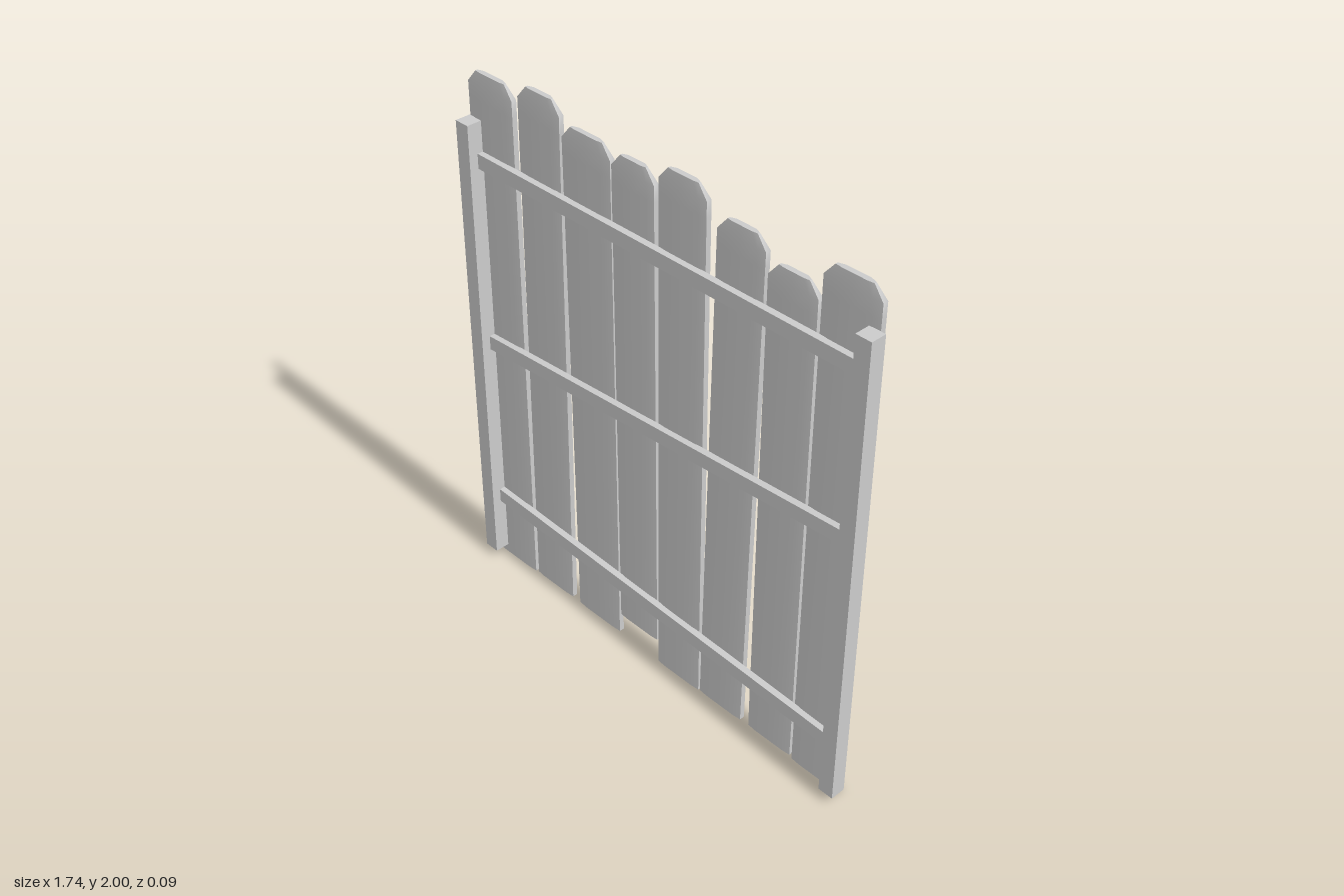
import * as THREE from 'three';

const material = new THREE.MeshStandardMaterial({ color: 0xcccccc });

// Plank: a box whose columns and rows are moved to lean it, clip its top corners and ease its edges
function makePlank({ top, bottom, yTop, yBottom = 0.005, zTop = 0, zBottom = 0 }) {
  const geometry = new THREE.BoxGeometry(1, 1, 1, 4, 3, 1);
  const columns = [0, 0.17, 0.5, 0.83, 1];
  const rows = [yBottom, yTop - 0.1, yTop - 0.045, yTop];
  const position = geometry.attributes.position;
  for (let i = 0; i < position.count; i++) {
    const c = Math.round((position.getX(i) + 0.5) * 4);
    const r = Math.round((position.getY(i) + 0.5) * 3);
    const back = position.getZ(i) < 0;
    const y = rows[r];
    const t = (y - yBottom) / (yTop - yBottom);
    const inset = r === 3 ? 0.037 : 0;
    const x0 = THREE.MathUtils.lerp(bottom[0], top[0], t) + inset;
    const x1 = THREE.MathUtils.lerp(bottom[1], top[1], t) - inset;
    const edge = c === 0 || c === 4;
    let z = back ? -0.04 : -0.01;
    if (edge) z += back ? 0.008 : -0.003;
    if (r === 3) z += back ? 0.008 : -0.003;
    z += THREE.MathUtils.lerp(zBottom, zTop, t);
    position.setXYZ(i, THREE.MathUtils.lerp(x0, x1, columns[c]), y, z);
  }
  geometry.computeVertexNormals();
  return new THREE.Mesh(geometry, material);
}

// Rail: a thin bar sheared so its ends stay upright between the posts
function makeRail(yLeft, yRight) {
  const half = 0.027;
  const shape = new THREE.Shape([
    new THREE.Vector2(-0.812, yLeft - half),
    new THREE.Vector2(0.812, yRight - half),
    new THREE.Vector2(0.812, yRight + half),
    new THREE.Vector2(-0.812, yLeft + half),
  ]);
  const geometry = new THREE.ExtrudeGeometry(shape, { depth: 0.024, bevelEnabled: false });
  geometry.translate(0, 0, -0.012);
  return new THREE.Mesh(geometry, material);
}

export function createModel() {
  const model = new THREE.Group();
  model.name = 'fencePanel';

  // Uneven planks, from -x to +x
  const planks = [
    { top: [-0.867, -0.655], bottom: [-0.867, -0.655], yTop: 1.97 },
    { top: [-0.625, -0.432], bottom: [-0.645, -0.453], yTop: 2, zBottom: -0.005 },
    { top: [-0.423, -0.207], bottom: [-0.413, -0.2], yTop: 1.94, zBottom: -0.004 },
    { top: [-0.205, -0.022], bottom: [-0.187, -0.003], yTop: 1.93, yBottom: 0.1, zTop: -0.003 },
    { top: [0, 0.197], bottom: [0.003, 0.202], yTop: 1.97 },
    { top: [0.24, 0.43], bottom: [0.207, 0.4], yTop: 1.905, zBottom: -0.003 },
    { top: [0.436, 0.625], bottom: [0.436, 0.625], yTop: 1.84, zTop: -0.004, zBottom: -0.006 },
    { top: [0.64, 0.85], bottom: [0.64, 0.85], yTop: 1.935 },
  ];
  planks.forEach((spec, i) => {
    const plank = makePlank(spec);
    plank.name = `plank${i + 1}`;
    model.add(plank);
  });

  // Cross rails
  const rails = { topRail: [1.668, 1.668], middleRail: [0.965, 1.07], bottomRail: [0.29, 0.228] };
  for (const [name, [yLeft, yRight]] of Object.entries(rails)) {
    const rail = makeRail(yLeft, yRight);
    rail.name = name;
    model.add(rail);
  }

  // Side posts
  for (const side of [-1, 1]) {
    const post = new THREE.Mesh(new THREE.BoxGeometry(0.058, 1.765, 0.057), material);
    post.position.set(side * 0.84, 0.9225, 0.017);
    post.name = side > 0 ? 'leftPost' : 'rightPost';
    model.add(post);
  }

  // Rest the planks on the ground
  model.position.y = 0;
  return model;
}
